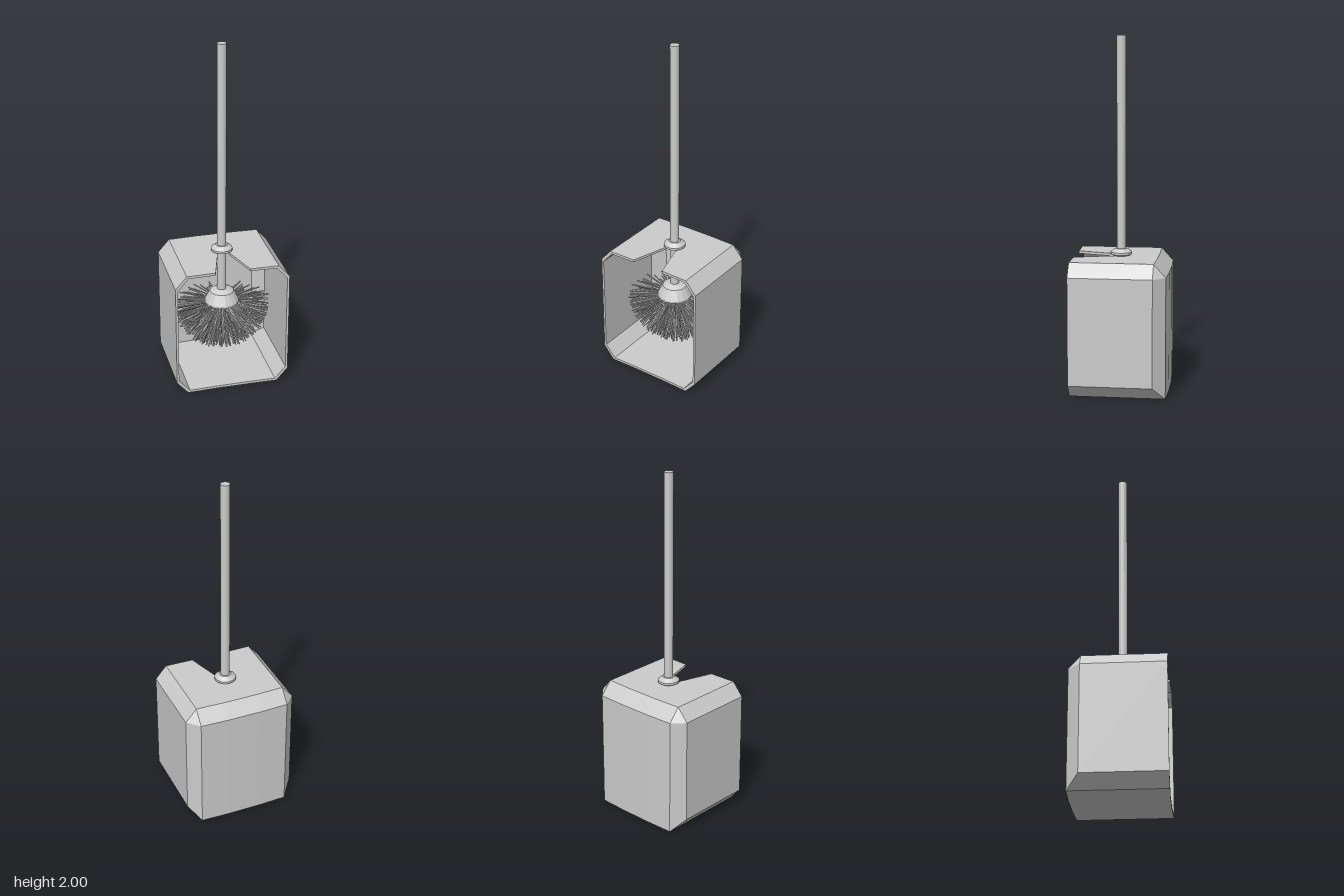
import * as THREE from 'three';
import { mergeGeometries } from 'three/addons/utils/BufferGeometryUtils.js';

const AXIS_Z = 0.008; // depth of the brush axis
const material = new THREE.MeshStandardMaterial({ color: 0xcccccc, flatShading: true, side: THREE.DoubleSide });

function addMesh(parent, name, geometry) {
  const mesh = new THREE.Mesh(geometry, material);
  mesh.name = name;
  parent.add(mesh);
  return mesh;
}

// Three rings of the holder wall: open front, start of the rear bevel, back panel
function holderRings(inner) {
  const right = [[0.1, 0], [0.265, 0], [0.33, 0.075], [0.33, 0.685], [0.265, 0.76], [0.1, 0.76]];
  const outline = [...right, ...right.map(([x, y]) => [-x, y]).reverse()];
  const place = (x, y, z) => {
    const bulge = Math.abs(x) <= 0.1 && z !== 0 ? (z > 0 ? -0.004 : -0.006) : 0;
    return inner
      ? [x * 0.96, 0.015 + y * 0.96, (z < 0 ? z + 0.013 : z) + bulge]
      : [x, y, z + bulge];
  };
  const backX = (x) => THREE.MathUtils.clamp(x, -0.265, 0.265);
  const backY = (y) => (y < 0.1 ? 0 : 0.685);
  return [
    outline.map(([x, y]) => place(x, y, 0.27)),
    outline.map(([x, y]) => place(x, y, -0.2)),
    outline.map(([x, y]) => place(backX(x), backY(y), -0.268)),
  ];
}

// Thin bevelled wall, leaving the top free for the slotted lid
function holderGeometry() {
  const positions = [];
  const quad = (a, b, c, d) => positions.push(...a, ...b, ...c, ...a, ...c, ...d);
  const isTop = (i) => i >= 4 && i <= 6;
  const outer = holderRings(false);
  const inner = holderRings(true);
  for (const rings of [outer, inner]) {
    const face = rings === outer ? quad : (a, b, c, d) => quad(d, c, b, a);
    for (let s = 0; s < 2; s++) {
      for (let i = 0; i < 12; i++) {
        if (s === 0 && isTop(i)) continue;
        const j = (i + 1) % 12;
        face(rings[s][i], rings[s + 1][i], rings[s + 1][j], rings[s][j]);
      }
    }
    // Back panel in three strips
    const b = rings[2];
    for (const [p, q, r, t] of [[0, 1, 4, 5], [11, 0, 5, 6], [10, 11, 6, 7]]) face(b[t], b[r], b[q], b[p]);
  }
  // Front rim
  for (let i = 0; i < 12; i++) {
    const j = (i + 1) % 12;
    if (!isTop(i)) quad(outer[0][i], outer[0][j], inner[0][j], inner[0][i]);
  }
  const geometry = new THREE.BufferGeometry();
  geometry.setAttribute('position', new THREE.Float32BufferAttribute(positions, 3));
  geometry.computeVertexNormals();
  return geometry;
}

// Lid with a flared slot running from the front edge to the handle
function lidGeometry() {
  const shape = new THREE.Shape();
  shape.moveTo(-0.265, -0.27);
  shape.lineTo(-0.1, -0.266);
  shape.lineTo(-0.036, -0.055);
  shape.absarc(0, -0.02, 0.032, Math.PI, 0, true);
  shape.lineTo(0.036, -0.055);
  shape.lineTo(0.1, -0.266);
  shape.lineTo(0.265, -0.27);
  shape.lineTo(0.265, 0.2);
  shape.lineTo(0.1, 0.206);
  shape.lineTo(-0.1, 0.206);
  shape.lineTo(-0.265, 0.2);
  const geometry = new THREE.ExtrudeGeometry(shape, { depth: 0.015, bevelEnabled: false, curveSegments: 8 });
  return geometry.rotateX(-Math.PI / 2).translate(0, 0.745, 0);
}

const lathe = (points) => new THREE.LatheGeometry(points.map(([r, y]) => new THREE.Vector2(r, y)), 16);

// Half ball of thin straight bristles fanning out below the bell
function bristlesGeometry() {
  let seed = 7;
  const random = () => (seed = (seed * 16807) % 2147483647) / 2147483647;
  const up = new THREE.Vector3(0, 1, 0);
  const count = 480;
  const parts = [];
  for (let i = 0; i < count; i++) {
    const drop = (i + 0.5) / count;
    const angle = i * 2.39996 + random() * 0.2;
    const ring = Math.sqrt(1 - drop * drop);
    const length = 0.27 + random() * 0.02;
    const tip = new THREE.Vector3(Math.cos(angle) * ring, -drop, Math.sin(angle) * ring * 0.88).multiplyScalar(length);
    const root = tip.clone().multiplyScalar(0.15);
    const span = tip.distanceTo(root);
    const bristle = new THREE.CylinderGeometry(0.004, 0.004, span, 5);
    bristle.applyQuaternion(new THREE.Quaternion().setFromUnitVectors(up, tip.clone().normalize()));
    const middle = root.add(tip).multiplyScalar(0.5);
    parts.push(bristle.translate(middle.x, middle.y + 0.432, middle.z));
  }
  return mergeGeometries(parts);
}

export function createModel() {
  const model = new THREE.Group();
  model.name = 'brushAndHolder';

  const holder = new THREE.Group();
  holder.name = 'holder';
  addMesh(holder, 'holderWall', holderGeometry());
  addMesh(holder, 'slottedLid', lidGeometry());

  const brush = new THREE.Group();
  brush.name = 'brush';
  brush.position.z = AXIS_Z;
  addMesh(brush, 'handle', new THREE.CylinderGeometry(0.026, 0.026, 1.52, 16).translate(0, 1.24, 0));
  addMesh(brush, 'collar', lathe([[0, 0.76], [0.05, 0.76], [0.062, 0.767], [0.062, 0.78], [0.035, 0.8], [0, 0.8]]));
  addMesh(brush, 'bell', lathe([[0, 0.515], [0.04, 0.515], [0.07, 0.5], [0.1, 0.44], [0.1, 0.428], [0, 0.428]].reverse()));
  addMesh(brush, 'bristles', bristlesGeometry());

  model.add(holder, brush);
  return model;
}
